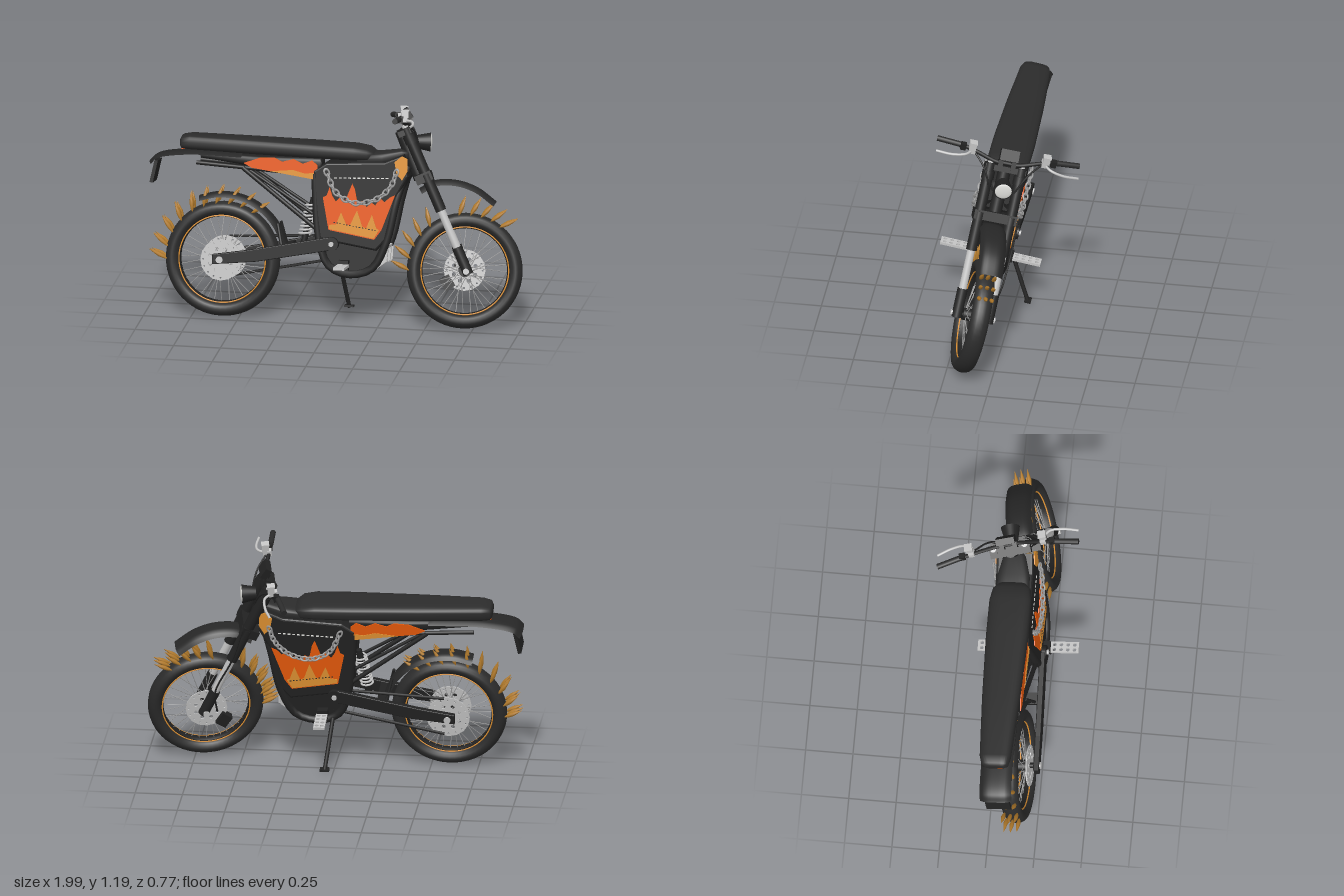
import * as THREE from 'three';

const mat = (name, color, side = THREE.FrontSide) => {
  const m = new THREE.MeshStandardMaterial({ color, side });
  m.name = name;
  return m;
};
const M = {
  rubber: mat('rubber black', 0x2b2b2b),
  frame: mat('frame black', 0x222222),
  plastic: mat('fender plastic', 0x262626, THREE.DoubleSide),
  orange: mat('flame orange', 0xe85a0c),
  amber: mat('flame amber', 0xe09232),
  gold: mat('spike gold', 0xb47c2c),
  silver: mat('light metal', 0xc4c4c4),
  steel: mat('chain steel', 0x9c9c9c),
  white: mat('lamp white', 0xe0e0dc),
};
const V = (p) => new THREE.Vector3(...p);
const SIDES = [1, -1];

function add(parent, name, geo, material, pos = [0, 0, 0], rot = [0, 0, 0]) {
  const m = new THREE.Mesh(geo, material);
  m.name = name;
  m.position.set(...pos);
  m.rotation.set(...rot);
  parent.add(m);
  return m;
}
const box = (p, name, size, m, pos, rz = 0) => add(p, name, new THREE.BoxGeometry(...size), m, pos, [0, 0, rz]);
const disc = (p, name, r, w, m, pos) => add(p, name, new THREE.CylinderGeometry(r, r, w, 24), m, pos, [Math.PI / 2, 0, 0]);

// Straight rod between two points
function rod(p, name, a, b, r, m, sides = 14) {
  const d = V(b).sub(V(a));
  const mesh = add(p, name, new THREE.CylinderGeometry(r, r, d.length(), sides), m);
  mesh.position.copy(V(a).addScaledVector(d, 0.5));
  mesh.quaternion.setFromUnitVectors(new THREE.Vector3(0, 1, 0), d.normalize());
}
const tube = (p, name, pts, r, m) =>
  add(p, name, new THREE.TubeGeometry(new THREE.CatmullRomCurve3(pts.map(V)), 32, r, 8), m);

const shapeOf = (pts) => new THREE.Shape(pts.map(([x, y]) => new THREE.Vector2(x, y)));
// Bevelled block cut from a side outline, centred on z
function block(p, name, pts, m, width, bevel, z = 0) {
  const g = new THREE.ExtrudeGeometry(shapeOf(pts), { depth: width - 2 * bevel, bevelThickness: bevel, bevelSize: bevel * 0.8, bevelSegments: 3 });
  add(p, name, g, m, [0, 0, z - width / 2 + bevel]);
}
// Thin painted plate on both sides of the bike
function plates(p, name, pts, m, z) {
  const g = new THREE.ExtrudeGeometry(shapeOf(pts), { depth: 0.006, bevelEnabled: false });
  for (const s of SIDES) add(p, name, g, m, [0, 0, s * z - 0.003]);
}
// Rounded body from sections [x, y, halfWidth, halfHeight]
function loft(p, name, sections, m, n = 28) {
  const pos = [], idx = [], last = sections.length - 1;
  const pw = (v) => Math.sign(v) * Math.pow(Math.abs(v), 0.6);
  for (const [x, y, w, h] of sections)
    for (let j = 0; j < n; j++) {
      const a = (j / n) * Math.PI * 2;
      pos.push(x, y + h * pw(Math.sin(a)), w * pw(Math.cos(a)));
    }
  for (const k of [0, last]) pos.push(sections[k][0], sections[k][1], 0);
  for (let j = 0; j < n; j++) {
    const q = (j + 1) % n, c = sections.length * n;
    for (let i = 0; i < last; i++) {
      const a = i * n, b = a + n;
      idx.push(a + j, b + j, b + q, a + j, b + q, a + q);
    }
    idx.push(c, j, q, c + 1, last * n + q, last * n + j);
  }
  const g = new THREE.BufferGeometry();
  g.setAttribute('position', new THREE.Float32BufferAttribute(pos, 3));
  g.setIndex(idx);
  g.computeVertexNormals();
  add(p, name, g, m);
}
// Curved mudguard: a plane bent along a path, with drooping edges
function fender(p, name, pts, halfW, droop) {
  const curve = new THREE.CatmullRomCurve3(pts.map(([x, y]) => new THREE.Vector3(x, y, 0)));
  const g = new THREE.PlaneGeometry(1, 2, 32, 10), at = g.attributes.position;
  for (let i = 0; i < at.count; i++) {
    const u = at.getX(i) + 0.5, v = at.getY(i), c = curve.getPoint(u), t = curve.getTangent(u);
    const d = droop * v ** 4;
    at.setXYZ(i, c.x + t.y * d, c.y - t.x * d, -v * halfW);
  }
  g.computeVertexNormals();
  add(p, name, g, M.plastic);
}
// Flat ring drilled with rows of holes
function drilledDisc(p, name, r, z) {
  const s = new THREE.Shape().absarc(0, 0, r, 0, Math.PI * 2);
  const hole = (x, y, q) => s.holes.push(new THREE.Path().absarc(x, y, q, 0, Math.PI * 2, true));
  for (let i = 0; i < 16; i++) {
    const a = (i / 16) * Math.PI * 2;
    hole(Math.cos(a) * r * 0.86, Math.sin(a) * r * 0.86, 0.005);
    if (i % 2) hole(Math.cos(a) * r * 0.55, Math.sin(a) * r * 0.55, 0.011);
  }
  add(p, name, new THREE.ExtrudeGeometry(s, { depth: 0.006, bevelEnabled: false, curveSegments: 8 }), M.silver, [0, 0, z - 0.003]);
}

function wheel(p, name, x, y, spikeAngles) {
  const g = new THREE.Group();
  g.name = name;
  g.position.set(x, y, 0);
  p.add(g);
  add(g, 'tyre', new THREE.TorusGeometry(0.267, 0.038, 16, 56), M.rubber).scale.z = 1.35;
  add(g, 'rim', new THREE.TorusGeometry(0.229, 0.006, 6, 56), M.frame).scale.z = 4;
  for (const s of SIDES) add(g, 'rimStripe', new THREE.TorusGeometry(0.231, 0.0035, 6, 56), M.amber, [0, 0, s * 0.028]);
  disc(g, 'hub', 0.032, 0.11, M.frame, [0, 0, 0]);
  for (let i = 0; i < 36; i++) {
    const a = (i / 36) * Math.PI * 2, b = a + (i % 4 < 2 ? 0.5 : -0.5), z = i % 2 ? 0.04 : -0.04;
    rod(g, 'spoke', [Math.cos(b) * 0.035, Math.sin(b) * 0.035, z], [Math.cos(a) * 0.228, Math.sin(a) * 0.228, 0], 0.002, M.steel, 5);
  }
  // Swept spikes in three rows across the tread
  const spike = new THREE.LatheGeometry([[0, -0.045], [0.008, -0.025], [0.012, 0.005], [0.008, 0.03], [0, 0.065]].map((q) => new THREE.Vector2(...q)), 7);
  for (const deg of spikeAngles)
    for (const z of [-0.034, 0, 0.034]) {
      const a = (deg * Math.PI) / 180, r = z ? 0.33 : 0.336;
      add(g, 'spike', spike, M.gold, [Math.cos(a) * r, Math.sin(a) * r, z], [0, 0, a - Math.PI / 2 - 0.42]);
    }
  return g;
}

function buildBody(b) {
  // Seat, tank cover and tail
  loft(b, 'seat', [[-0.835, 0.925, 0.05, 0.02], [-0.825, 0.927, 0.07, 0.036], [-0.78, 0.93, 0.082, 0.042], [-0.45, 0.925, 0.1, 0.044],
    [-0.1, 0.92, 0.112, 0.044], [0.1, 0.917, 0.112, 0.042], [0.17, 0.912, 0.1, 0.036], [0.205, 0.905, 0.07, 0.02]], M.rubber);
  loft(b, 'tankCover', [[0.12, 0.885, 0.09, 0.03], [0.25, 0.895, 0.085, 0.035], [0.35, 0.915, 0.06, 0.03], [0.385, 0.915, 0.04, 0.02]], M.rubber);
  fender(b, 'tailFender', [[-0.995, 0.82], [-0.96, 0.855], [-0.8, 0.885], [-0.5, 0.885]], 0.085, 0.02);
  box(b, 'plateHolder', [0.018, 0.12, 0.13], M.frame, [-0.968, 0.765, 0], -0.2);
  box(b, 'tailLight', [0.018, 0.022, 0.07], M.orange, [-0.82, 0.898, 0]);
  loft(b, 'tailTray', [[-0.72, 0.865, 0.06, 0.018], [-0.4, 0.845, 0.075, 0.035], [-0.08, 0.84, 0.08, 0.05]], M.frame);

  // Central battery box
  block(b, 'batteryBox', [[-0.1, 0.81], [-0.04, 0.85], [0.27, 0.87], [0.36, 0.91], [0.385, 0.81], [0.325, 0.7], [0.275, 0.47], [0.23, 0.42], [0, 0.455], [-0.075, 0.47], [-0.09, 0.65]], M.frame, 0.2, 0.015);
  plates(b, 'flamePanel', [[-0.02, 0.508], [0.225, 0.468], [0.262, 0.52], [0.33, 0.71], [0.3, 0.695], [0.275, 0.67], [0.25, 0.69], [0.225, 0.65], [0.205, 0.665], [0.18, 0.64],
    [0.155, 0.67], [0.13, 0.66], [0.115, 0.73], [0.1, 0.76], [0.085, 0.72], [0.065, 0.665], [0.04, 0.69], [0.015, 0.66], [-0.005, 0.69], [-0.02, 0.735], [-0.035, 0.69], [-0.055, 0.68]], M.orange, 0.102);
  plates(b, 'flameTips', [[-0.015, 0.513], [0.223, 0.474], [0.25, 0.52], [0.235, 0.53], [0.21, 0.6], [0.18, 0.525], [0.16, 0.535], [0.13, 0.62], [0.095, 0.54], [0.075, 0.54], [0.045, 0.605], [0.02, 0.54], [-0.018, 0.535]], M.amber, 0.105);
  plates(b, 'headPanel', [[0.322, 0.885], [0.36, 0.918], [0.39, 0.905], [0.393, 0.84], [0.365, 0.79], [0.335, 0.82]], M.amber, 0.103);
  plates(b, 'tailPanel', [[-0.485, 0.838], [-0.44, 0.815], [-0.09, 0.768], [-0.09, 0.845], [-0.12, 0.87], [-0.17, 0.85], [-0.22, 0.872], [-0.28, 0.855], [-0.32, 0.875], [-0.4, 0.87]], M.orange, 0.092);
  plates(b, 'tailPanelStripe', [[-0.34, 0.802], [-0.09, 0.768], [-0.09, 0.805], [-0.16, 0.8], [-0.22, 0.815]], M.amber, 0.095);
  for (const s of SIDES) {
    for (let i = 0; i < 12; i++) box(b, 'stitch', [0.015, 0.006, 0.004], M.white, [0.01 + i * 0.025, 0.785 + i * 0.001, s * 0.101]);
    for (let i = 0; i < 14; i++) box(b, 'panelDash', [0.008, 0.004, 0.004], M.frame, [0.01 + i * 0.017, 0.55 - i * 0.0025, s * 0.108]);
    // Hanging chain
    const path = new THREE.CatmullRomCurve3([[-0.035, 0.815], [0.01, 0.72], [0.07, 0.675], [0.14, 0.66], [0.24, 0.69], [0.31, 0.76], [0.335, 0.83]].map(([x, y]) => new THREE.Vector3(x, y, s * 0.122)));
    const link = new THREE.TorusGeometry(0.013, 0.005, 6, 12).scale(1.45, 1, 1);
    for (let i = 0; i <= 18; i++) {
      const c = path.getPointAt(i / 18), t = path.getTangentAt(i / 18), m = add(b, 'chainLink', link, M.steel, c.toArray());
      m.rotation.set(i % 2 ? 1.1 : -0.35, 0, Math.atan2(t.y, t.x), 'ZYX');
    }
  }
}

function buildChassis(b) {
  for (const s of SIDES) {
    tube(b, 'cradleTube', [[0.385, 0.86, s * 0.05], [0.335, 0.68, s * 0.08], [0.285, 0.45, s * 0.085], [0.21, 0.31, s * 0.08], [0.08, 0.275, s * 0.08], [-0.02, 0.32, s * 0.085], [-0.07, 0.45, s * 0.085], [-0.105, 0.8, s * 0.08]], 0.021, M.frame);
    rod(b, 'seatRail', [-0.74, 0.825, s * 0.065], [-0.08, 0.79, s * 0.07], 0.011, M.frame);
    rod(b, 'upperStrut', [-0.49, 0.81, s * 0.075], [-0.09, 0.51, s * 0.085], 0.012, M.frame);
    rod(b, 'lowerStrut', [-0.46, 0.8, s * 0.06], [-0.11, 0.585, s * 0.07], 0.009, M.frame);
    // Swingarm
    block(b, 'swingarm', [[-0.63, 0.3], [-0.63, 0.345], [-0.45, 0.375], [-0.02, 0.465], [0.02, 0.45], [0.02, 0.41], [-0.4, 0.325]], M.frame, 0.03, 0.005, s * 0.105);
    disc(b, 'axleNut', 0.018, 0.014, M.silver, [-0.595, 0.322, s * 0.12]);
    disc(b, 'pivotBolt', 0.013, 0.01, M.silver, [0, 0.435, s * 0.128]);
    // Foot pegs with drilled platforms
    const peg = shapeOf([[-0.03, 0], [0.03, 0], [0.03, 0.15], [-0.03, 0.15]]);
    for (let i = 0; i < 4; i++)
      for (const x of [-0.014, 0.014]) peg.holes.push(new THREE.Path().absarc(x, 0.02 + i * 0.036, 0.01, 0, Math.PI * 2, true));
    add(b, 'footPeg', new THREE.ExtrudeGeometry(peg, { depth: 0.014, bevelEnabled: false, curveSegments: 6 }), M.silver, [0.068, s > 0 ? 0.332 : 0.318, s * 0.12], [s * Math.PI / 2, 0, 0]);
    box(b, 'pegBracket', [0.055, 0.05, 0.04], M.frame, [0.065, 0.325, s * 0.1]);
  }
  disc(b, 'swingarmPivot', 0.036, 0.245, M.frame, [0, 0.435, 0]);
  box(b, 'swingarmBridge', [0.06, 0.04, 0.2], M.frame, [-0.25, 0.395, 0], 0.2);
  rod(b, 'rearAxle', [-0.595, 0.322, -0.115], [-0.595, 0.322, 0.115], 0.014, M.frame);
  // Motor: dark case with a bright finned block at the front
  block(b, 'motorCase', [[-0.03, 0.33], [0.03, 0.29], [0.19, 0.3], [0.265, 0.37], [0.27, 0.44], [-0.03, 0.45]], M.frame, 0.165, 0.01);
  block(b, 'motorBlock', [[0.1, 0.285], [0.2, 0.285], [0.285, 0.35], [0.292, 0.43], [0.2, 0.43]], M.silver, 0.13, 0.006);
  for (let i = 0; i < 5; i++) box(b, 'motorFin', [0.03, 0.07, 0.006], M.silver, [0.288, 0.385, -0.05 + i * 0.025]);
  // Rear shock with coil spring
  rod(b, 'shock', [-0.12, 0.66, 0], [-0.17, 0.41, 0], 0.017, M.frame);
  const coil = Array.from({ length: 73 }, (_, i) => {
    const a = (i / 8) * Math.PI * 2, t = i / 72;
    return [-0.127 - 0.036 * t + 0.032 * Math.cos(a), 0.63 - 0.17 * t, 0.032 * Math.sin(a)];
  });
  add(b, 'spring', new THREE.TubeGeometry(new THREE.CatmullRomCurve3(coil.map(V)), 160, 0.006, 6), M.silver);
  // Drive chain and rear guard
  for (const [y0, y1] of [[0.425, 0.46], [0.215, 0.34]]) rod(b, 'driveChain', [-0.575, y0, -0.075], [0.02, y1, -0.075], 0.008, M.frame, 6);
  fender(b, 'rearGuard', Array.from({ length: 7 }, (_, i) => {
    const a = ((112 - i * 16) * Math.PI) / 180;
    return [-0.595 + 0.355 * Math.cos(a), 0.315 + 0.355 * Math.sin(a)];
  }), 0.06, 0.025);
  for (const s of SIDES) rod(b, 'guardStay', [-0.27, 0.4, s * 0.08], [-0.3, 0.52, s * 0.05], 0.008, M.frame);
  // Side stand
  rod(b, 'sideStand', [0.01, 0.306, -0.11], [0.045, 0.06, -0.24], 0.011, M.frame);
  box(b, 'standFoot', [0.05, 0.01, 0.035], M.frame, [0.045, 0.065, -0.24]);
  const rear = wheel(b, 'rearWheel', -0.595, 0.315, [56, 69, 82, 95, 108, 121, 136, 151, 166, 179]);
  drilledDisc(rear, 'brakeDisc', 0.11, 0.065);
  drilledDisc(rear, 'sprocket', 0.115, -0.07);
}

function buildSteering(f) {
  const rake = 0.44, onFork = (y) => [0.36 + (1.05 - y) * 0.473, y];
  for (const s of SIDES) {
    const z = s * 0.085, leg = (name, y0, y1, r, m) => rod(f, name, [...onFork(y0), z], [...onFork(y1), z], r, m);
    leg('forkTube', 1.06, 0.63, 0.029, M.frame);
    leg('forkCap', 1.075, 1.06, 0.016, M.silver);
    leg('forkSlider', 0.64, 0.42, 0.021, M.silver);
    leg('forkFoot', 0.44, 0.3, 0.028, M.frame);
    for (const y of [1.0, 0.8]) leg('forkCollar', y + 0.02, y - 0.02, 0.034, M.frame);
    // Handlebar half, grip, lever and reservoir
    tube(f, 'handlebar', [[0.36, 1.075, 0], [0.36, 1.075, s * 0.06], [0.335, 1.1, s * 0.18], [0.315, 1.11, s * 0.27], [0.295, 1.105, s * 0.38]], 0.011, M.frame);
    rod(f, 'grip', [0.318, 1.11, s * 0.26], [0.295, 1.105, s * 0.385], 0.015, M.rubber);
    tube(f, 'lever', [[0.335, 1.105, s * 0.19], [0.385, 1.1, s * 0.23], [0.39, 1.085, s * 0.3], [0.37, 1.075, s * 0.385]], 0.007, M.silver);
    box(f, 'reservoir', [0.036, 0.035, 0.036], M.silver, [0.35, 1.135, s * 0.2]);
    box(f, 'reservoirCap', [0.042, 0.008, 0.042], M.silver, [0.35, 1.157, s * 0.2]);
    box(f, 'leverClamp', [0.045, 0.03, 0.03], M.silver, [0.34, 1.108, s * 0.195]);
    box(f, 'switchBox', [0.03, 0.035, 0.03], M.frame, [0.325, 1.108, s * 0.245]);
    tube(f, 'cable', [[0.35, 1.1, s * 0.18], [0.4, 1.05, s * 0.12], [0.43, 0.96, s * 0.075], [0.43, 0.84, s * 0.06]], 0.005, M.frame);
    box(f, 'barClamp', [0.035, 0.045, 0.025], M.frame, [0.36, 1.065, s * 0.035], rake);
    disc(f, 'axleCap', 0.016, 0.06, M.silver, [0.7, 0.315, s * 0.09]);
  }
  tube(f, 'brakeHose', [[0.5, 0.83, -0.12], [0.56, 0.65, -0.125], [0.65, 0.45, -0.11], [0.64, 0.3, -0.07]], 0.005, M.frame);
  box(f, 'upperClamp', [0.07, 0.03, 0.22], M.frame, [0.35, 1.035, 0], rake);
  box(f, 'lowerClamp', [0.09, 0.05, 0.23], M.frame, [0.46, 0.8, 0], rake);
  rod(f, 'steeringStem', [0.335, 1.04, 0], [0.445, 0.79, 0], 0.035, M.frame);
  box(f, 'display', [0.035, 0.06, 0.1], M.frame, [0.365, 1.13, 0], 0.6);
  // Headlight
  add(f, 'headlightShell', new THREE.CylinderGeometry(0.05, 0.035, 0.075, 28), M.frame, [0.455, 0.985, 0], [0, 0, -Math.PI / 2]);
  add(f, 'headlightLens', new THREE.SphereGeometry(0.045, 24, 8, 0, Math.PI * 2, 0, Math.PI / 2).scale(1, 0.2, 1), M.white, [0.492, 0.985, 0], [0, 0, -Math.PI / 2]);
  fender(f, 'frontFender', [[0.44, 0.74], [0.52, 0.785], [0.64, 0.79], [0.75, 0.755], [0.85, 0.685]], 0.07, 0.03);
  rod(f, 'frontAxle', [0.7, 0.315, -0.1], [0.7, 0.315, 0.1], 0.013, M.frame);
  const front = wheel(f, 'frontWheel', 0.695, 0.315, [50, 61, 72, 83, 95, 127, 140, 153, 166, 178]);
  drilledDisc(front, 'brakeDisc', 0.11, -0.055);
  box(front, 'caliper', [0.06, 0.07, 0.045], M.frame, [-0.09, -0.07, -0.06], 0.6);
}

export function createModel() {
  const model = new THREE.Group();
  model.name = 'motorcycle';
  const bike = new THREE.Group();
  bike.name = 'leaningBike';
  model.add(bike);
  buildBody(bike);
  buildChassis(bike);

  // Fork assembly turned about the raked steering axis
  const steer = new THREE.Group(), fork = new THREE.Group();
  steer.name = 'steering';
  fork.name = 'forkAssembly';
  steer.position.set(0.345, 1.0, 0);
  fork.position.set(-0.345, -1.0, 0);
  steer.quaternion.setFromAxisAngle(new THREE.Vector3(-Math.sin(0.44), Math.cos(0.44), 0), 0.2);
  steer.add(fork);
  bike.add(steer);
  buildSteering(fork);

  // Lean onto the stand and rest on the ground
  bike.rotation.x = -0.166;
  bike.position.z = 0.18;
  model.updateMatrixWorld(true);
  bike.position.y = -new THREE.Box3().setFromObject(model, true).min.y;
  return model;
}
